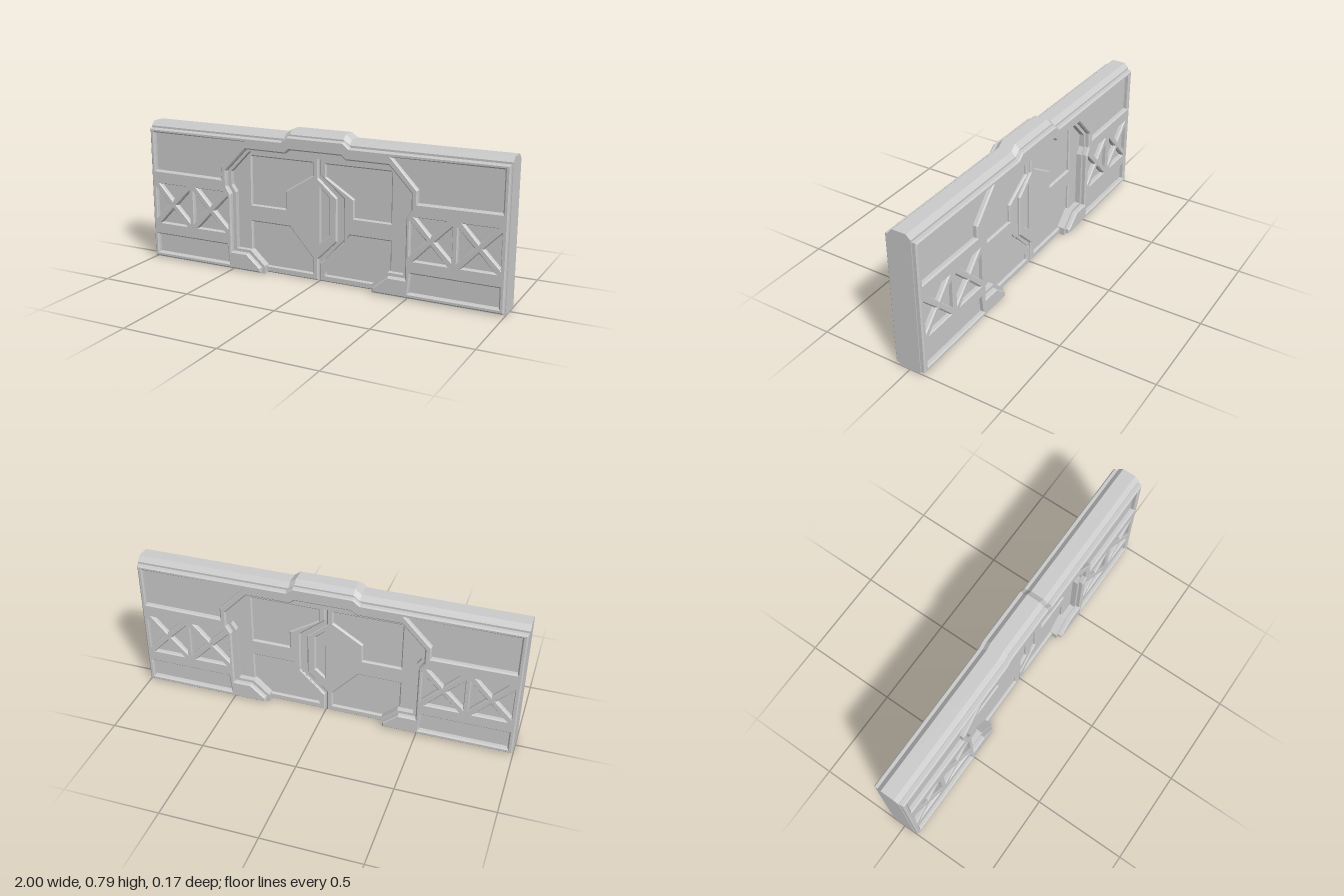
import * as THREE from 'three';

const grey = new THREE.MeshStandardMaterial({ color: 0xcccccc, flatShading: true });

const toShape = (pts) => new THREE.Shape(pts.map(([x, y]) => new THREE.Vector2(x, y)));
const flipX = (pts) => pts.map(([x, y]) => [-x, y]);
// Half outline (x > 0) followed by its mirror image.
const symmetric = (half) => [...half, ...flipX(half).reverse()];
const rect = (x0, y0, x1, y1) => [[x0, y0], [x1, y0], [x1, y1], [x0, y1]];

// Plate between two depths, with holes and an optional chamfer inside its outline.
function plate(name, outline, holes, z0, z1, bevel = 0) {
  const shape = toShape(outline);
  shape.holes = holes.map(toShape);
  const geo = new THREE.ExtrudeGeometry(shape, {
    depth: z1 - z0 - 2 * bevel,
    bevelEnabled: bevel > 0,
    bevelSize: bevel,
    bevelThickness: bevel,
    bevelOffset: -bevel,
    bevelSegments: 1,
  });
  geo.translate(0, 0, z0 + bevel);
  const mesh = new THREE.Mesh(geo, grey);
  mesh.name = name;
  return mesh;
}

// Four triangular recesses that leave a cross brace standing.
function crossRecesses(x0, y0, x1, y1, g = 0.024) {
  const cx = (x0 + x1) / 2, cy = (y0 + y1) / 2;
  return [
    [[x0 + g, y1], [x1 - g, y1], [cx, cy + g]],
    [[x0 + g, y0], [x1 - g, y0], [cx, cy - g]],
    [[x0, y0 + g], [x0, y1 - g], [cx - g, cy]],
    [[x1, y0 + g], [x1, y1 - g], [cx + g, cy]],
  ];
}

// Chamfered top rail, lofted along x with a raised middle.
function topRail() {
  const stations = [[-1, 0], [-0.183, 0], [-0.15, 0.025], [0.15, 0.025], [0.183, 0], [1, 0]];
  const half = [[0.06, 0.69, 0], [0.06, 0.737, 1], [0.036, 0.76, 1]];
  const profile = [...half, ...half.map(([z, y, k]) => [-z, y, k]).reverse()];
  const n = profile.length, pos = [], idx = [];
  for (const [x, rise] of stations) for (const [z, y, k] of profile) pos.push(x, y + k * rise, z);
  for (let s = 0; s < stations.length - 1; s++) {
    for (let i = 0; i < n; i++) {
      const a = s * n + i, b = s * n + (i + 1) % n;
      idx.push(a, a + n, b, b, a + n, b + n);
    }
  }
  const last = (stations.length - 1) * n;
  for (let i = 1; i < n - 1; i++) idx.push(0, i, i + 1, last, last + i + 1, last + i);
  const indexed = new THREE.BufferGeometry();
  indexed.setAttribute('position', new THREE.Float32BufferAttribute(pos, 3));
  indexed.setIndex(idx);
  const geo = indexed.toNonIndexed();
  geo.computeVertexNormals();
  const mesh = new THREE.Mesh(geo, grey);
  mesh.name = 'topRail';
  return mesh;
}

export function createModel() {
  const group = new THREE.Group();

  // Wall core with the stepped doorway
  const coreHalf = [
    [0, 0.652], [0.39, 0.652], [0.503, 0.534], [0.503, 0.463], [0.477, 0.425], [0.477, 0.118],
    [0.392, 0.118], [0.308, 0.042], [0.308, 0], [1, 0], [1, 0.69],
  ];
  group.add(plate('wallCore', symmetric(coreHalf).slice(1, -1), [], -0.06, 0.06));
  group.add(topRail());

  // Raised cladding on both faces, with recessed panels and cross braces
  const claddingHalf = [
    [0.145, 0.686], [0.168, 0.666], [0.4, 0.666], [0.52, 0.541], [0.52, 0.458], [0.495, 0.418],
    [0.495, 0.103], [0.402, 0.103], [0.322, 0.034], [0.322, 0.01], [0.996, 0.01], [0.996, 0.727],
    [0.19, 0.727], [0.155, 0.754],
  ];
  const rightHoles = [
    [[0.97, 0.705], [0.41, 0.705], [0.552, 0.558], [0.552, 0.493], [0.97, 0.497]],
    [[0.97, 0.035], [0.513, 0.035], [0.524, 0.138], [0.97, 0.138]],
    ...crossRecesses(0.515, 0.205, 0.73, 0.425),
    ...crossRecesses(0.757, 0.205, 0.97, 0.425),
  ];
  const holes = [...rightHoles, ...rightHoles.map(flipX)];
  for (const [name, turn] of [['frontCladding', 0], ['backCladding', Math.PI]]) {
    const cladding = plate(name, symmetric(claddingHalf), holes, 0.045, 0.085, 0.007);
    cladding.rotation.y = turn;
    group.add(cladding);
  }

  // Sliding door: thin inner panel and two interlocking leaves
  const door = new THREE.Group();
  door.name = 'door';
  door.add(plate('doorInnerPanel', rect(-0.51, 0.003, 0.51, 0.67), [], -0.017, 0.017));

  const upper = [[0.395, 0.622], [0.038, 0.622], [0.038, 0.556], [0.195, 0.458], [0.195, 0.362], [0.395, 0.362]];
  const lower = [[0.395, 0.27], [0.172, 0.27], [0.038, 0.12], [0.038, 0.038], [0.315, 0.038], [0.395, 0.112]];
  const leftEdge = [[-0.006, 0.002], [-0.006, 0.118], [0.1, 0.225], [0.1, 0.452], [-0.006, 0.545], [-0.006, 0.67]];
  const rightEdge = [[0.004, 0.002], [0.004, 0.1], [0.015, 0.108], [0.138, 0.228], [0.138, 0.455], [0.004, 0.565], [0.004, 0.67]];
  const slit = [[0.006, 0.21], [0.055, 0.255], [0.055, 0.452], [0.006, 0.495]];
  // The recess beside the seam follows the interlocking edge.
  door.add(plate('bulgedLeaf', [[-0.51, 0.002], ...leftEdge, [-0.51, 0.67]], [flipX(upper), flipX(lower), slit], -0.031, 0.031, 0.006));
  door.add(plate('notchedLeaf', [[0.51, 0.002], ...rightEdge, [0.51, 0.67]], [upper, lower], -0.031, 0.031, 0.006));
  group.add(door);

  return group;
}
